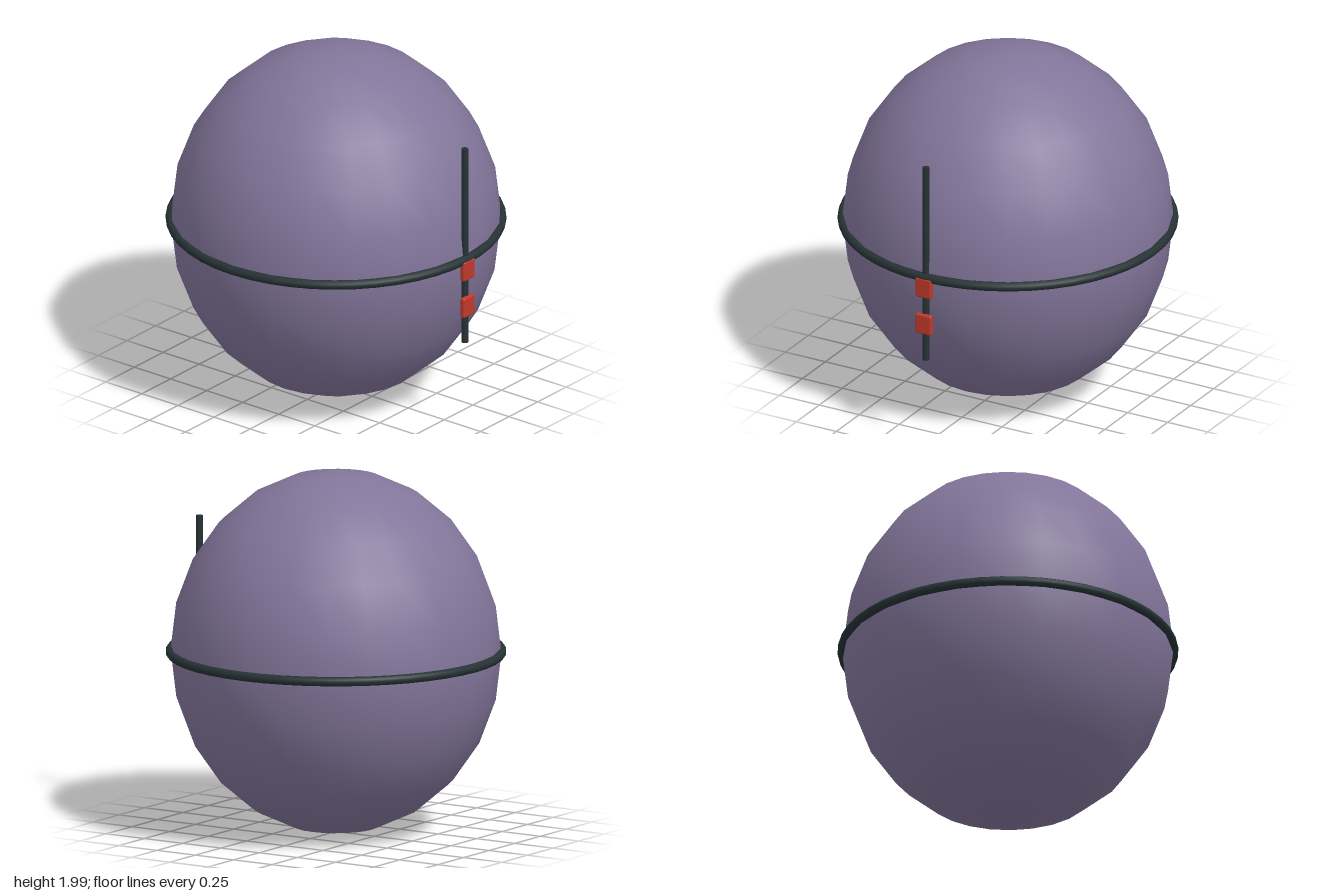
import * as THREE from 'three';
import { RoundedBoxGeometry } from 'three/addons/geometries/RoundedBoxGeometry.js';

const material = (name, color) => {
  const m = new THREE.MeshStandardMaterial({ color });
  m.name = name;
  return m;
};

export function createModel() {
  const group = new THREE.Group();
  const purple = material('dusty purple', 0x82759a);
  const dark = material('dark slate', 0x263234);
  const red = material('red', 0xc0392b);

  const add = (name, geometry, mat, x, y, z) => {
    const mesh = new THREE.Mesh(geometry, mat);
    mesh.name = name;
    mesh.position.set(x, y, z);
    group.add(mesh);
    return mesh;
  };

  // Slightly tall egg-like body
  const body = new THREE.SphereGeometry(1, 24, 12);
  body.scale(0.9, 0.997, 0.9);
  add('body', body, purple, 0, 1.003, 0);

  // Band around the middle
  const band = new THREE.TorusGeometry(0.9, 0.026, 12, 48);
  band.rotateX(Math.PI / 2);
  add('band', band, dark, 0, 1.003, 0);

  // Upright rod on the front
  add('rod', new THREE.CylinderGeometry(0.019, 0.019, 1.15, 12), dark, 0, 1.085, 0.893);

  // Two rounded clips on the rod
  [['upperClip', 0.947], ['lowerClip', 0.73]].forEach(([name, y]) => {
    add(name, new RoundedBoxGeometry(0.1, 0.118, 0.032, 2, 0.012), red, 0, y, 0.912);
  });

  return group;
}
